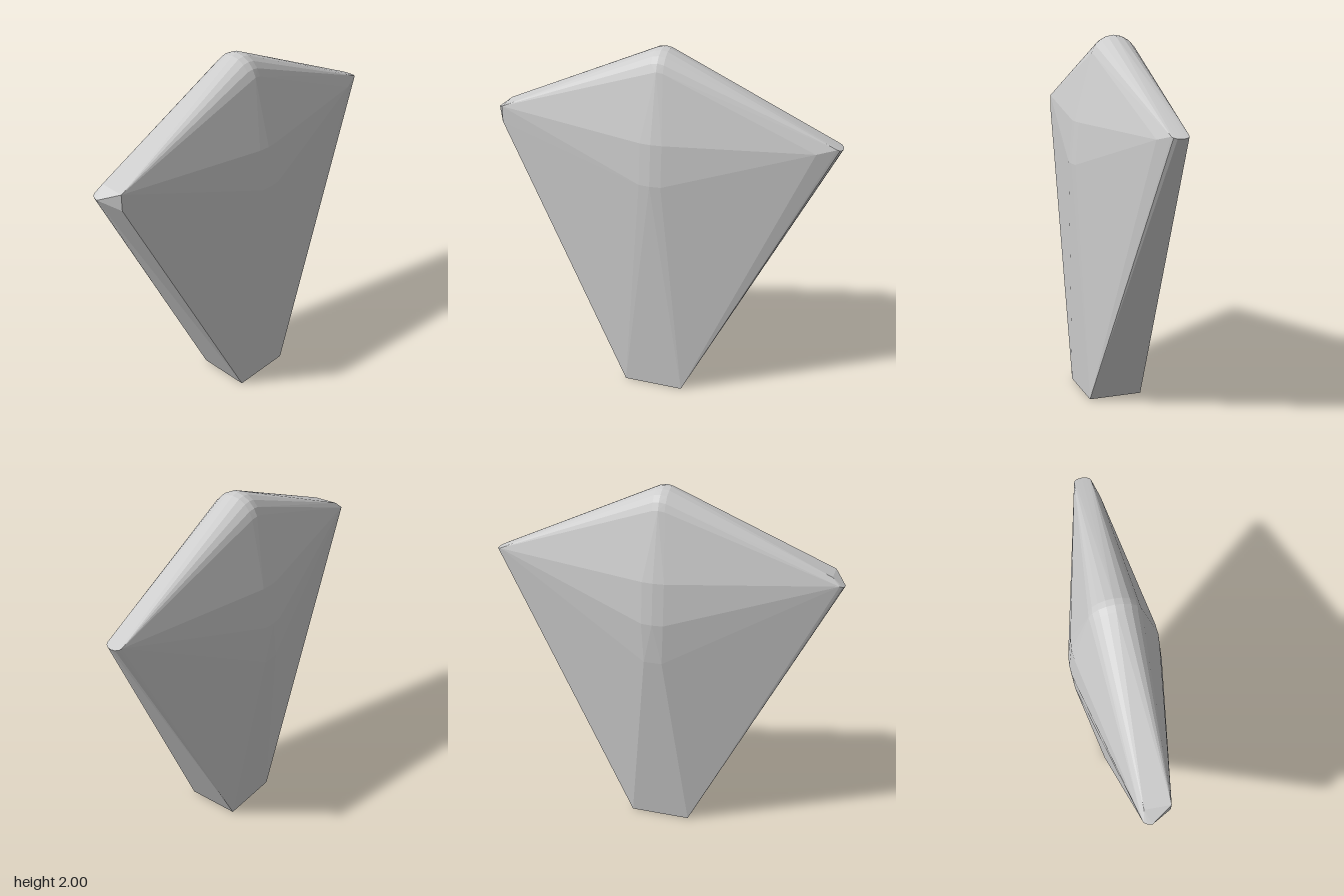
import * as THREE from 'three';
import { ConvexGeometry } from 'three/addons/geometries/ConvexGeometry.js';

export function createModel() {
  const group = new THREE.Group();
  group.name = 'wedgeStone';
  const stone = new THREE.MeshStandardMaterial({ color: 0xcccccc });
  stone.name = 'stone grey';

  const points = [];
  const add = (x, y, z) => points.push(new THREE.Vector3(x, y, z));
  const addPair = (x, y, z) => { add(x, y, z); add(-x, y, z); };

  // Square foot, set a little to the front
  addPair(0.17, 0, 0.2);
  addPair(0.17, 0, -0.1);

  // Rounded crown: an arc across the thickness, with a narrow flat along x
  for (let i = 0; i <= 10; i++) {
    const a = (i / 10) * Math.PI;
    const z = 0.135 * Math.cos(a);
    const y = 1.86 + 0.14 * Math.sin(a);
    add(0, y, z);
    addPair(0.035, y - 0.006, z * 0.97);
  }

  // Bulging ridge down the middle of both broad faces: [halfWidth, y, z]
  const ridge = [
    [0, 1.54, 0.226], [0.06, 1.54, 0.221], [0.13, 1.54, 0.207],
    [0, 1.31, 0.247], [0.06, 1.31, 0.242], [0.13, 1.33, 0.226],
  ];
  for (const [x, y, z] of ridge) {
    addPair(x, y, z);
    addPair(x, y, -z);
  }
  addPair(0.05, 1.08, -0.232);

  // Rounded side tips
  for (let i = 0; i <= 6; i++) {
    const a = -Math.PI / 2 + (i / 6) * Math.PI;
    const x = 0.94 + 0.026 * Math.cos(a);
    const z = 0.046 * Math.sin(a);
    add(x, 1.565 - 0.01 * Math.cos(a), z);
    add(x - 0.012, 1.535, z);
    if (z <= 0.001) {
      add(-x, 1.565 - 0.01 * Math.cos(a), z);
      add(-x + 0.012, 1.535, z);
    }
  }
  add(0.84, 1.54, 0.08);

  // Chamfered corner at the right tip
  add(-0.9, 1.6, 0.105);
  add(-0.9, 1.51, 0.105);
  add(-0.9, 1.605, -0.03);

  const body = new THREE.Mesh(new ConvexGeometry(points), stone);
  body.name = 'body';
  group.add(body);
  return group;
}
